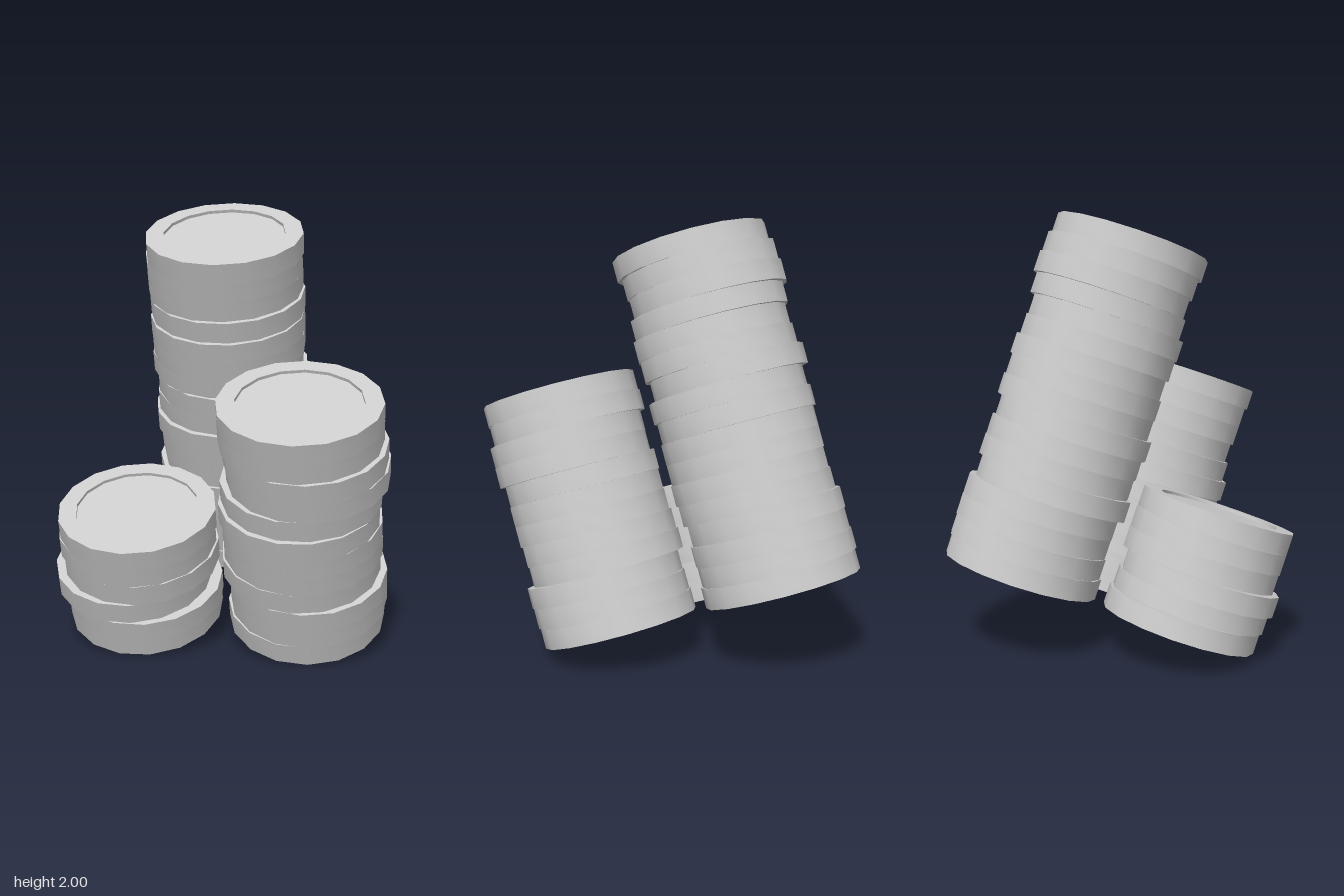
import * as THREE from 'three';
import { toCreasedNormals } from 'three/addons/utils/BufferGeometryUtils.js';

const TILT = THREE.MathUtils.degToRad(20);
const RADIUS = 0.36, INNER = 0.278, THICK = 0.0957, RECESS = 0.014, SIDES = 16;

// Disc with a raised rim on both faces
function coinGeometry() {
  const profile = [
    [0, RECESS], [INNER, RECESS], [INNER, 0], [RADIUS, 0],
    [RADIUS, THICK], [INNER, THICK], [INNER, THICK - RECESS], [0, THICK - RECESS],
  ].map(([r, y]) => new THREE.Vector2(r, y));
  return toCreasedNormals(new THREE.LatheGeometry(profile, SIDES), 0.7);
}

// Stack centres; each coin's shift is listed from the top down in hundredths
const STACKS = [
  {
    name: 'tallStack', x: -0.01, z: -0.595,
    dx: [0, -1, -1, 0, 0, 0, -1, 1, 0, -1, 0, 1, -1, 0, 1, 0, 0],
    dz: [0, -2, -3, -1, 1, 0, -2, 0, -1, 1, 0, 0, 1, -2, -2, -2, -1],
  },
  {
    name: 'mediumStack', x: 0.38, z: 0.08,
    dx: [0, 0, 2, 3, 0, -1, 0, 0, -1, 2, 2, 1],
    dz: [0, -1, 0, -1, -1, 1, 0, -1, -1, 0, -1, -1],
  },
  {
    name: 'shortStack', x: -0.37, z: 0.075,
    dx: [0, -1, 0, -4, 1, 0],
    dz: [0, -1, -1, 0, 1, -1],
  },
];

export function createModel() {
  const model = new THREE.Group();
  model.name = 'coinStacks';
  const geometry = coinGeometry();
  const material = new THREE.MeshStandardMaterial({ color: 0xcccccc });

  // All stacks lean forward together
  const leaning = new THREE.Group();
  leaning.name = 'leaningStacks';
  leaning.rotation.x = TILT;
  model.add(leaning);

  for (const { name, x, z, dx, dz } of STACKS) {
    const stack = new THREE.Group();
    stack.name = name;
    stack.position.set(x, 0.157, z);
    const count = dx.length;
    for (let i = 0; i < count; i++) {
      const coin = new THREE.Mesh(geometry, material);
      coin.name = 'coin';
      coin.position.set(dx[i] / 100, (count - 1 - i) * THICK, dz[i] / 100);
      coin.rotation.y = i * 2.4; // every coin is turned differently
      stack.add(coin);
    }
    leaning.add(stack);
  }
  return model;
}
